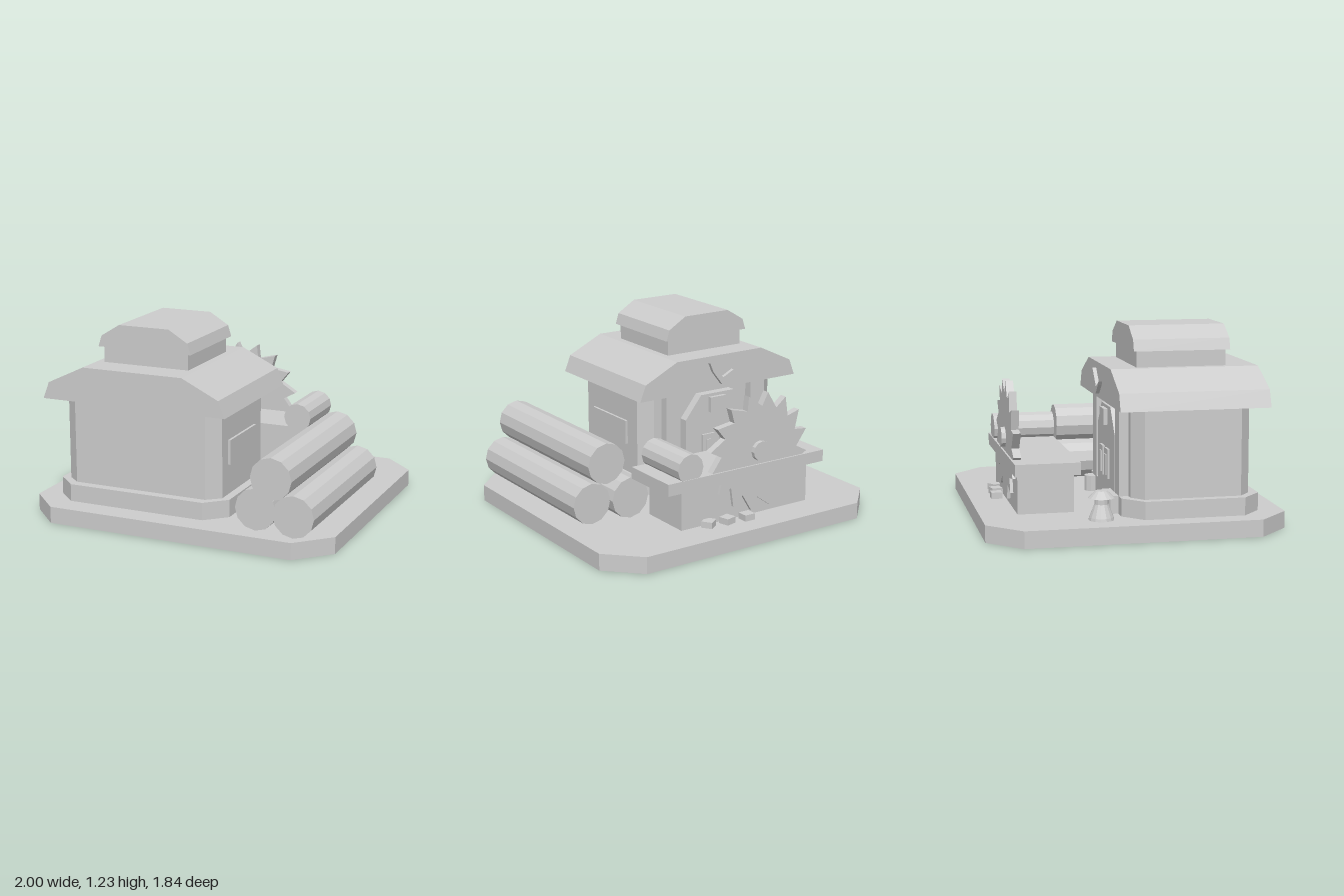
import * as THREE from 'three';

const grey = new THREE.MeshStandardMaterial({ color: 0xcccccc, flatShading: true, side: THREE.DoubleSide });
grey.name = 'plain grey';

export function createModel() {
  const model = new THREE.Group();

  const add = (name, geometry) => {
    const mesh = new THREE.Mesh(geometry, grey);
    mesh.name = name;
    model.add(mesh);
    return mesh;
  };
  // Box given by its limits on each axis
  const box = (name, x0, x1, y0, y1, z0, z1) => {
    const mesh = add(name, new THREE.BoxGeometry(x1 - x0, y1 - y0, z1 - z0));
    mesh.position.set((x0 + x1) / 2, (y0 + y1) / 2, (z0 + z1) / 2);
    return mesh;
  };
  const shapeOf = (points) => new THREE.Shape(points.map(([x, y]) => new THREE.Vector2(x, y)));
  // Outline in x and y, extruded from z0 to z1
  const profile = (name, points, z0, z1) => {
    const geometry = new THREE.ExtrudeGeometry(shapeOf(points), { depth: z1 - z0, bevelEnabled: false });
    return add(name, geometry.translate(0, 0, z0));
  };
  // Outline in x and z, extruded from y0 to y1
  const plan = (name, points, y0, y1) => {
    const geometry = new THREE.ExtrudeGeometry(shapeOf(points.map(([x, z]) => [x, -z])), { depth: y1 - y0, bevelEnabled: false });
    return add(name, geometry.rotateX(-Math.PI / 2).translate(0, y0, 0));
  };
  // Rectangle with cut corners
  const cutRect = (x0, x1, z0, z1, cx, cz) => [
    [x0 + cx, z0], [x1 - cx, z0], [x1, z0 + cz], [x1, z1 - cz],
    [x1 - cx, z1], [x0 + cx, z1], [x0, z1 - cz], [x0, z0 + cz],
  ];
  // Round bar lying along z
  const bar = (name, x, y, r, z0, z1, sides = 12) =>
    add(name, new THREE.CylinderGeometry(r, r, z1 - z0, sides).rotateX(Math.PI / 2).translate(x, y, (z0 + z1) / 2));

  // Ground slab: a shell with a top and sides, open underneath
  const ground = 0.105;
  const rim = cutRect(-1, 1, -0.918, 0.918, 0.2, 0.2);
  const shell = [];
  rim.forEach(([x, z], i) => {
    const [nx, nz] = rim[(i + 1) % rim.length];
    shell.push(0, ground, 0, nx, ground, nz, x, ground, z);
    shell.push(x, 0, z, x, ground, z, nx, ground, nz);
    shell.push(x, 0, z, nx, ground, nz, nx, 0, nz);
  });
  const slab = new THREE.BufferGeometry();
  slab.setAttribute('position', new THREE.Float32BufferAttribute(shell, 3));
  slab.computeVertexNormals();
  add('groundSlab', slab);

  // House walls
  plan('foundation', cutRect(-0.867, 0.292, -0.09, 0.765, 0.127, 0.12), ground, 0.215);
  plan('walls', cutRect(-0.81, 0.24, -0.032, 0.705, 0.082, 0.07), 0.215, 0.77);

  // Roof and raised roof vent
  profile('roof', [[-0.9, 0.76], [0.325, 0.76], [0.283, 0.865], [0.045, 0.98], [-0.62, 0.98], [-0.86, 0.865]], -0.13, 0.79);
  box('ventNeck', -0.57, 0, 0.97, 1.08, 0.04, 0.6);
  profile('ventRoof', [[-0.6, 1.08], [0.026, 1.08], [0.004, 1.15], [-0.12, 1.225], [-0.455, 1.225], [-0.577, 1.15]], 0.018, 0.62);

  // Doorway at the back: posts, door, hatch, panels
  for (const x of [-0.68, -0.01]) box('doorPost', x, x + 0.11, 0.215, 0.765, -0.09, -0.02);
  profile('door', [[-0.55, 0.2], [-0.05, 0.2], [-0.05, 0.57], [-0.17, 0.72], [-0.43, 0.72], [-0.55, 0.57]], -0.09, -0.02);
  box('doorHatch', -0.35, -0.23, 0.6, 0.7, -0.115, -0.08);
  for (const x of [-0.41, -0.27]) {
    box('doorPanel', x, x + 0.095, 0.27, 0.455, -0.105, -0.08);
    box('doorPanelInset', x + 0.025, x + 0.07, 0.29, 0.42, -0.112, -0.09);
  }
  plan('doorStep', [[-0.66, -0.09], [-0.66, -0.14], [-0.61, -0.167], [-0.48, -0.167], [-0.43, -0.14], [-0.43, -0.09]], ground, 0.215);
  add('stepStone', new THREE.CylinderGeometry(0.05, 0.05, 0.1, 10).translate(0.072, 0.155, -0.105));

  // Angled bracket ornament on the gable
  profile('gableOrnament', [[-0.38, 0.875], [-0.3, 0.835], [-0.195, 0.94], [-0.22, 0.88], [-0.29, 0.79], [-0.36, 0.85]], -0.154, -0.12);

  // Window on the side wall
  box('sideWindow', 0.22, 0.256, 0.405, 0.56, 0.15, 0.55);

  // Log pile
  bar('log', 0.528, 0.235, 0.13, -0.325, 0.805);
  bar('log', 0.783, 0.235, 0.13, -0.29, 0.845);
  bar('log', 0.654, 0.458, 0.13, -0.255, 0.878);

  // Saw bench with a log waiting on it
  box('benchBase', -0.56, 0.4, ground, 0.36, -0.69, -0.343);
  box('benchTop', -0.67, 0.515, 0.355, 0.43, -0.72, -0.32);
  bar('benchLog', 0.35, 0.495, 0.092, -0.715, -0.32);

  // Circular saw blade with slanted teeth
  const teeth = 16;
  const outline = [];
  for (let i = 0; i < teeth; i++) {
    for (const [r, step] of [[0.29, 0], [0.375, 0.27]]) {
      const a = ((i + 0.13 + step) / teeth) * Math.PI * 2;
      outline.push([-0.17 + r * Math.cos(a), 0.507 + r * Math.sin(a)]);
    }
  }
  profile('sawBlade', outline, -0.709, -0.661);
  bar('sawHub', -0.17, 0.517, 0.063, -0.736, -0.7);

  // Wood chips on the ground
  for (const [x, z, turn] of [[-0.048, -0.75, 0], [0.09, -0.735, 0.25], [0.22, -0.72, 0.6]]) {
    const chip = box('woodChip', x - 0.037, x + 0.037, ground, 0.145, z - 0.035, z + 0.035);
    chip.rotation.y = turn;
  }

  // Small bollard beside the house
  const bollard = [[0, ground], [0.078, ground], [0.074, 0.122], [0.042, 0.2], [0.042, 0.236], [0.08, 0.238], [0.035, 0.28], [0, 0.28]];
  add('bollard', new THREE.LatheGeometry(bollard.map(([r, y]) => new THREE.Vector2(r, y)), 14).translate(-0.793, 0, -0.223));

  return model;
}
